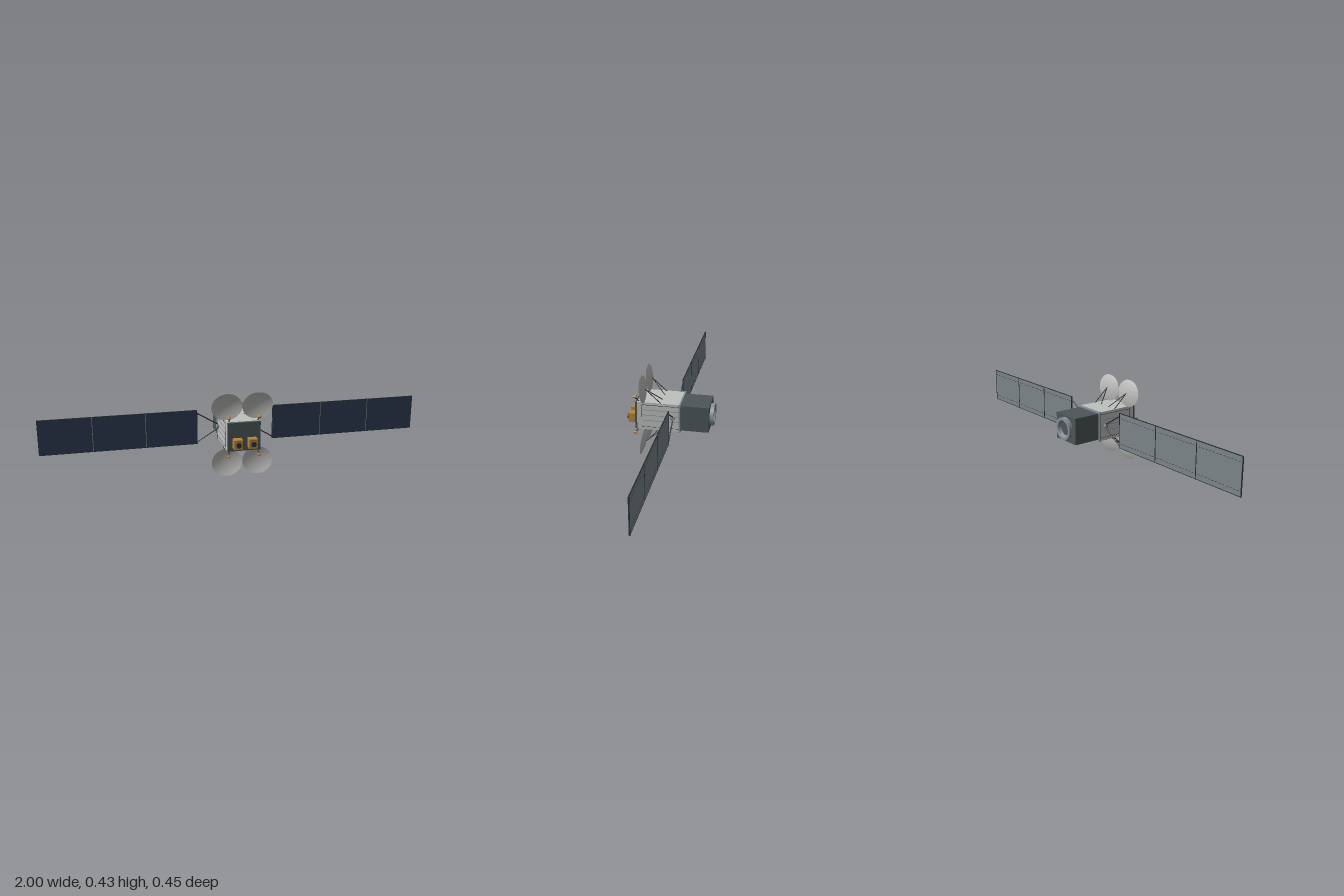
import * as THREE from 'three';

const mat = (name, color, double = false) => {
  const m = new THREE.MeshStandardMaterial({ color });
  m.name = name;
  if (double) m.side = THREE.DoubleSide;
  return m;
};
const V = (x, y, z) => new THREE.Vector3(x, y, z);
const UP = V(0, 1, 0);
const CY = 0.2165; // height of the central axis

export function createModel() {
  const silver = mat('silver', 0xbfc1bf);
  const dishWhite = mat('dishGrey', 0xbdbdbb, true);
  const dark = mat('darkGrey', 0x4d5658);
  const black = mat('black', 0x2c3032);
  const blue = mat('cellBlue', 0x2c3b52);
  const backGrey = mat('panelGrey', 0x7c858a);
  const steel = mat('steel', 0x87929b, true);
  const gold = mat('gold', 0xb3843f);
  const tan = mat('tan', 0x9a968a);

  const root = new THREE.Group();
  root.name = 'satellite';

  const add = (name, geo, material, x, y, z, parent = root) => {
    const m = new THREE.Mesh(geo, material);
    m.name = name;
    m.position.set(x, y, z);
    parent.add(m);
    return m;
  };
  const box = (name, material, w, h, d, x, y, z, parent) =>
    add(name, new THREE.BoxGeometry(w, h, d), material, x, y, z, parent);
  // tapered rod from a to b
  const rod = (name, material, a, b, r0, r1 = r0, sides = 8, parent = root) => {
    const d = b.clone().sub(a);
    const c = a.clone().add(b).multiplyScalar(0.5);
    const m = add(name, new THREE.CylinderGeometry(r1, r0, d.length(), sides), material, c.x, c.y, c.z, parent);
    m.quaternion.setFromUnitVectors(UP, d.normalize());
    return m;
  };

  // main body
  box('body', silver, 0.17, 0.152, 0.218, 0, 0.217, 0.057);
  box('frontPlate', dark, 0.168, 0.147, 0.011, 0, CY, 0.1715);
  box('flange', steel, 0.18, 0.156, 0.008, 0, 0.217, -0.056);
  box('rearModule', dark, 0.16, 0.137, 0.145, 0, 0.2175, -0.1325);

  // rear ring with a recessed inside
  const ring = add('rearRing', new THREE.LatheGeometry(
    [[0.058, 0], [0.058, 0.02], [0.058, 0.02], [0.044, 0.02], [0.044, 0.02], [0.036, 0.001]]
      .map(([r, h]) => new THREE.Vector2(r, h)), 32), steel, 0, 0.218, -0.205);
  ring.rotation.x = -Math.PI / 2;
  const disc = add('ringFloor', new THREE.CircleGeometry(0.04, 32), dark, 0, 0.218, -0.2062);
  disc.rotation.y = Math.PI;

  for (const s of [1, -1]) {
    // raised side radiator and its rails
    box('sidePanel', silver, 0.003, 0.122, 0.19, s * 0.086, 0.219, 0.045);
    for (const y of [0.253, 0.224, 0.195]) {
      box('sideRail', steel, 0.003, 0.003, 0.19, s * 0.0885, y, 0.045);
    }
    for (const y of [0.28, 0.158]) {
      box('sideTrim', black, 0.002, 0.0015, 0.192, s * 0.0875, y, 0.044);
    }
    box('sideTrim', black, 0.002, 0.122, 0.0015, s * 0.0875, 0.219, 0.14);

    // wing hub and yoke
    rod('wingHub', steel, V(s * 0.083, 0.217, -0.021), V(s * 0.1, 0.217, -0.021), 0.011, 0.011, 20);
    for (const v of [1, -1]) {
      rod('yokeArm', black, V(s * 0.09, CY + v * 0.009, -0.021), V(s * 0.202, CY + v * 0.078, -0.021), 0.003);
    }

    // solar wing of three panels
    const wing = new THREE.Group();
    wing.name = 'solarWing';
    root.add(wing);
    const pitch = 0.8 / 3, py = 0.2195, ph = 0.18;
    for (let i = 0; i < 3; i++) {
      const x = s * (0.2 + pitch * (i + 0.5));
      const w = pitch - 0.003;
      box('solarCells', blue, w, ph, 0.003, x, py, -0.0195, wing);
      box('panelBack', backGrey, w, ph, 0.002, x, py, -0.022, wing);
      for (const v of [1, -1]) {
        box('panelEdge', black, w, 0.003, 0.005, x, py + v * 0.09, -0.021, wing);
        // dashed row of fasteners on the back
        for (let k = 0; k < 12; k++) {
          box('fastener', black, 0.011, 0.002, 0.001, x + (k - 5.5) * 0.021, py + v * 0.065, -0.0232, wing);
        }
      }
    }
    for (let i = 0; i < 4; i++) {
      const x = s * (0.2 + pitch * i - (i === 3 ? 0.002 : i === 0 ? -0.002 : 0));
      box('panelSeam', black, 0.004, 0.184, 0.003, x, py, -0.023, wing);
      if (i % 3) box('frontSeam', tan, 0.003, 0.18, 0.003, x, py, -0.0195, wing);
    }

    // front thruster block
    const tx = s * 0.038;
    box('thrusterBlock', gold, 0.044, 0.049, 0.041, tx, 0.1875, 0.1975);
    rod('thrusterNozzle', black, V(tx, 0.187, 0.217), V(tx, 0.187, 0.226), 0.013, 0.013, 16);

    // dishes with struts and feed horns, above and below
    for (const v of [1, -1]) {
      const P = (x, y, z) => V(s * x, CY + v * y, z);
      const profile = [];
      for (let i = 0; i <= 8; i++) {
        const r = i / 8;
        profile.push(new THREE.Vector2(r, 0.013 * r * r));
      }
      const apex = P(0.079, 0.1465, 0.1225);
      const dish = add('dish', new THREE.LatheGeometry(profile, 40), dishWhite, apex.x, apex.y, apex.z);
      dish.scale.set(0.079, 1, 0.07);
      dish.quaternion.setFromUnitVectors(UP, V(0, -v * 0.116, 0.993).normalize());
      for (const x of [0.028, 0.08]) {
        rod('dishStrut', black, P(x, 0.074, 0.041), P(0.079, 0.146, 0.121), 0.0022);
      }
      rod('feedArm', black, P(0.072, 0.074, 0.156), P(0.078, 0.098, 0.178), 0.0028);
      rod('feedHorn', gold, P(0.078, 0.0985, 0.19), P(0.078, 0.1025, 0.17), 0.0055, 0.008, 14);
    }
  }
  return root;
}
